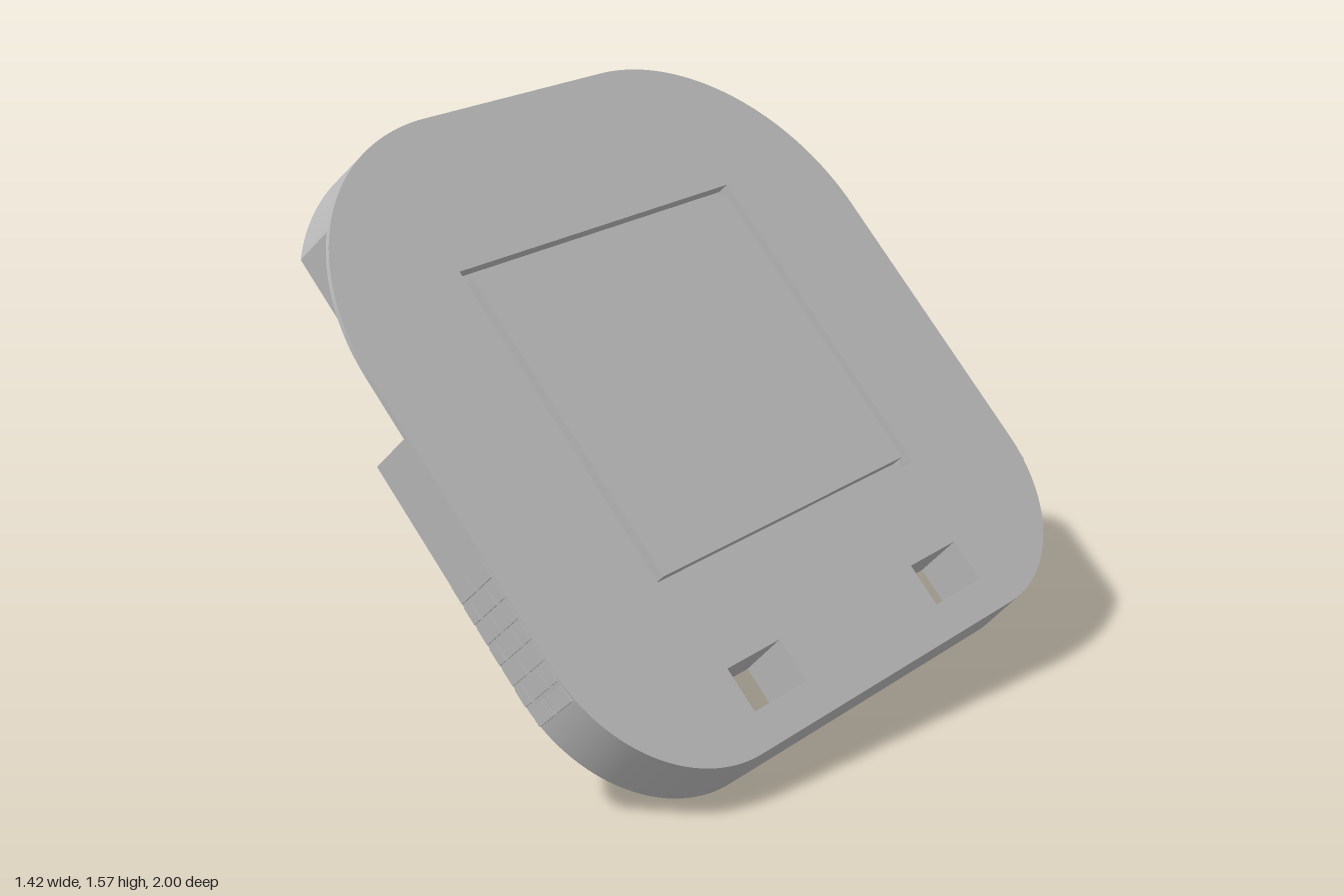
import * as THREE from 'three';
import { toCreasedNormals } from 'three/addons/utils/BufferGeometryUtils.js';

// Plate dimensions in its own frame: x across, y up the plate, z out of its face
const W = 0.93, TOP = 0.89, BOTTOM = -0.92, R_TOP = 0.6, R_LOW = 0.4;
const DEPTH = 0.153, LIP = 0.015, GROOVE_DEPTH = 0.04, GROOVE = 0.025;
const NOTCH_X = 0.794, NOTCH_LOW = 0.12, NOTCH_ANGLE = 0.686;
const PANEL_W = 1.028, PANEL_H = 0.928;

function rectPath(Type, cx, cy, w, h) {
  const p = new Type();
  p.moveTo(cx - w / 2, cy - h / 2);
  p.lineTo(cx + w / 2, cy - h / 2);
  p.lineTo(cx + w / 2, cy + h / 2);
  p.lineTo(cx - w / 2, cy + h / 2);
  p.closePath();
  return p;
}

// Rounded outline; the notched version has a flat cut in each upper side
function outline(notched) {
  const s = new THREE.Shape();
  const a = notched ? NOTCH_ANGLE : 0;
  s.moveTo(-W + R_LOW, BOTTOM);
  s.lineTo(W - R_LOW, BOTTOM);
  s.absarc(W - R_LOW, BOTTOM + R_LOW, R_LOW, -Math.PI / 2, 0, false);
  if (notched) {
    s.lineTo(W, NOTCH_LOW);
    s.lineTo(NOTCH_X, NOTCH_LOW);
  }
  s.absarc(W - R_TOP, TOP - R_TOP, R_TOP, a, Math.PI / 2, false);
  s.absarc(-W + R_TOP, TOP - R_TOP, R_TOP, Math.PI / 2, Math.PI - a, false);
  if (notched) {
    s.lineTo(-NOTCH_X, NOTCH_LOW);
    s.lineTo(-W, NOTCH_LOW);
  }
  s.absarc(-W + R_LOW, BOTTOM + R_LOW, R_LOW, Math.PI, Math.PI * 1.5, false);
  return s;
}

// One layer of the plate between two depths, flaring slightly towards the back
function layer(notched, grooved, near, far) {
  const s = outline(notched);
  for (const x of [-0.375, 0.375]) s.holes.push(rectPath(THREE.Path, x, -0.766, 0.2, 0.12));
  if (grooved) s.holes.push(rectPath(THREE.Path, 0, 0, PANEL_W, PANEL_H));
  const geo = new THREE.ExtrudeGeometry(s, { depth: far - near, bevelEnabled: false, curveSegments: 28 });
  geo.translate(0, 0, -far);
  const p = geo.attributes.position;
  for (let i = 0; i < p.count; i++) p.setY(i, p.getY(i) * (1 - 0.015 * p.getZ(i) / DEPTH));
  return toCreasedNormals(geo, 0.5);
}

export function createModel() {
  const model = new THREE.Group();
  const plate = new THREE.Group();
  plate.name = 'tiltedPlate';
  model.add(plate);
  const grey = new THREE.MeshStandardMaterial({ color: 0xb8b8b8 });
  grey.name = 'grey';

  const add = (name, geo, x = 0, y = 0, z = 0) => {
    const mesh = new THREE.Mesh(geo, grey);
    mesh.name = name;
    mesh.position.set(x, y, z);
    plate.add(mesh);
    return mesh;
  };

  // Body in layers: thin face, grooved middle, solid back
  add('faceLip', layer(false, true, 0, LIP));
  add('bodyMiddle', layer(true, true, LIP, GROOVE_DEPTH));
  add('bodyBack', layer(true, false, GROOVE_DEPTH, DEPTH));

  // Central panel standing inside its groove
  add('screenPanel', new THREE.BoxGeometry(PANEL_W - 2 * GROOVE, PANEL_H - 2 * GROOVE, 0.05), 0, 0, -0.025);

  // Two chamfered pegs on the back
  for (const [x, y] of [[0.74, 0.05], [-0.65, -0.33]]) {
    const c = 0.035;
    const peg = new THREE.ExtrudeGeometry(rectPath(THREE.Shape, 0, 0, 0.22 - 2 * c, 0.2 - 2 * c), {
      depth: 0.2, bevelThickness: c, bevelSize: c, bevelSegments: 1,
    });
    add('backPeg', peg, x, y, -0.33);
  }

  // Staggered brick grips on both lower sides
  const rows = 7, pitch = 0.056, gap = 0.01, brick = 0.076;
  for (const side of [-1, 1]) {
    for (let i = 0; i < rows; i++) {
      const y = -0.24 - i * pitch;
      // follow the start of the rounded corner
      const drop = Math.max(0, BOTTOM + R_LOW - y);
      const edge = W - R_LOW + Math.sqrt(R_LOW * R_LOW - drop * drop);
      const first = i % 2 ? -brick / 2 : 0;
      for (let z = first; z < DEPTH - 0.01; z += brick) {
        const near = Math.max(z, 0) + gap / 2;
        const far = Math.min(z + brick, DEPTH) - gap / 2;
        if (far - near < 0.015) continue;
        add('gripBrick', new THREE.BoxGeometry(0.03, pitch - gap, far - near),
          side * (edge - 0.009), y, -(near + far) / 2);
      }
    }
  }

  // Tilt the whole plate into place
  const across = new THREE.Vector3(-0.158, 0.097, -0.983).normalize();
  const up = new THREE.Vector3(-0.628, 0.76, 0.172);
  const out = new THREE.Vector3().crossVectors(across, up).normalize();
  up.crossVectors(out, across);
  plate.quaternion.setFromRotationMatrix(new THREE.Matrix4().makeBasis(across, up, out));
  plate.position.set(0.031, 0.86, 0.02);
  return model;
}
